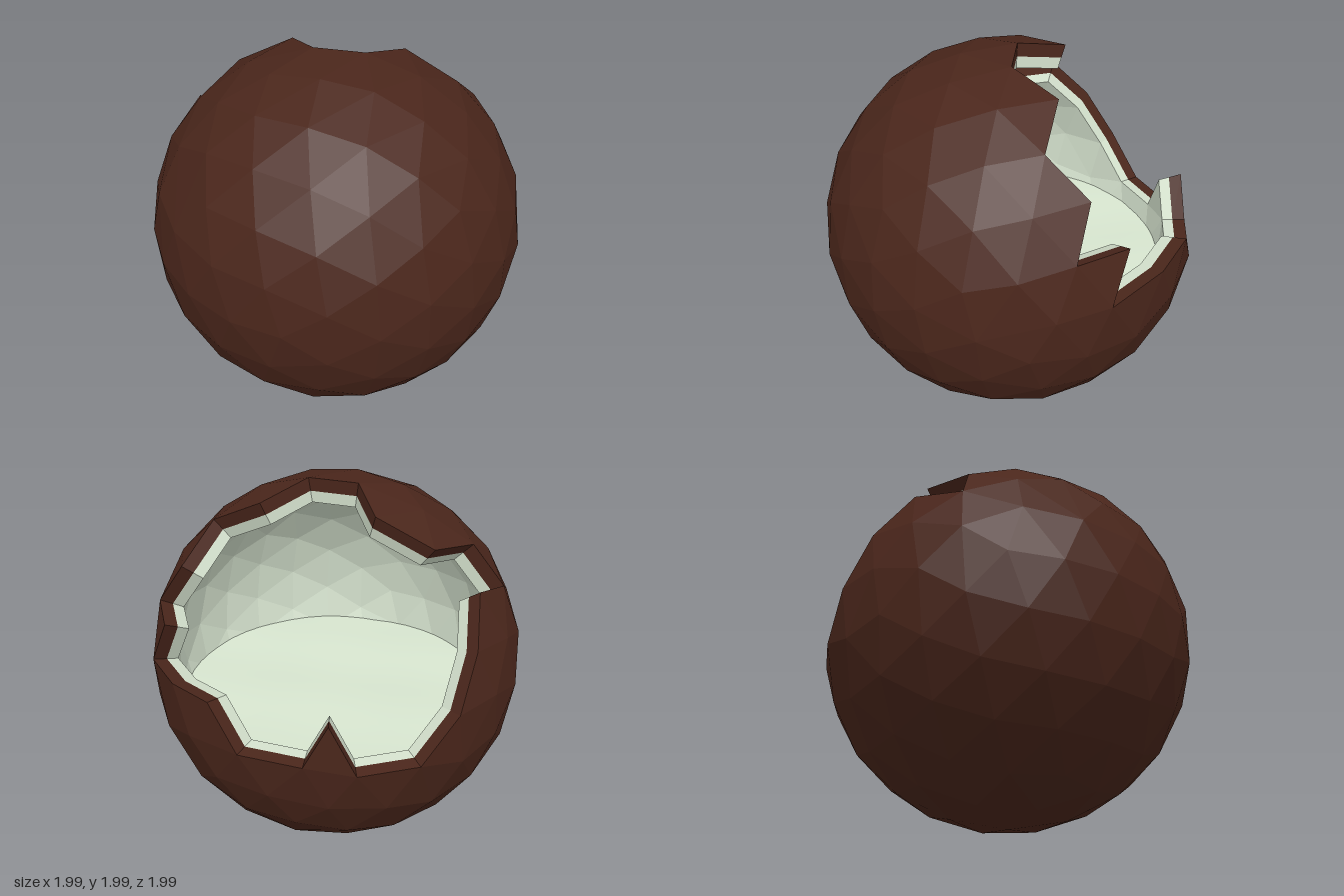
import * as THREE from 'three';
import { ConvexGeometry } from 'three/addons/geometries/ConvexGeometry.js';

const V = (x, y, z) => new THREE.Vector3(x, y, z);
const HUSK = 0.93, FLESH = 0.87; // inner radius of each layer

// jagged edge of the opening, counterclockwise seen from outside
const rim = [
  [0.1, 0.99, 0.1], [0.39, 0.915, 0.1], [0.51, 0.77, 0.35], [0.75, 0.6, 0.3],
  [0.81, 0.36, 0.47], [0.92, 0.36, 0.2], [0.935, 0.1, 0.34], [0.99, 0.14, 0],
  [0.95, 0.16, -0.28], [0.89, -0.07, -0.44], [0.7, -0.07, -0.71], [0.6, 0.16, -0.78],
  [0.495, -0.12, -0.86], [0.2, -0.12, -0.97], [-0.01, 0.1, -0.99], [-0.17, 0.36, -0.92],
  [-0.31, 0.57, -0.76], [-0.6, 0.48, -0.64], [-0.46, 0.7, -0.53], [-0.14, 0.78, -0.61],
  [0.05, 0.92, -0.39], [-0.05, 0.99, -0.12],
].map((p) => V(...p).normalize());
const next = (i) => rim[(i + 1) % rim.length];

// flat chart around the opening, in which the rim is a plain polygon
const axis = V(0.62, 0.56, -0.5).normalize();
const axisU = V(0, 1, 0).cross(axis).normalize();
const axisV = axis.clone().cross(axisU);
function chart(p) {
  const d = p.dot(axis);
  return [p.dot(axisU) / d, p.dot(axisV) / d];
}
const outline = rim.map(chart);

function inOpening(p) {
  if (p.dot(axis) < 0.05) return false;
  const [x, y] = chart(p);
  let inside = false;
  outline.forEach(([ax, ay], i) => {
    const [bx, by] = outline[(i + 1) % outline.length];
    if ((ay > y) !== (by > y) && x < ax + ((y - ay) / (by - ay)) * (bx - ax)) inside = !inside;
  });
  return inside;
}

// evenly spread sphere points that include the rim corners
function spherePoints() {
  const free = [];
  const pos = new THREE.IcosahedronGeometry(1, 3).attributes.position;
  for (let i = 0; i < pos.count; i++) {
    const p = V().fromBufferAttribute(pos, i);
    if (!free.some((q) => q.distanceTo(p) < 0.01)) free.push(p);
  }
  // each rim corner takes the place of its nearest point
  for (const r of rim) {
    let best = 0;
    free.forEach((p, i) => { if (p.distanceTo(r) < free[best].distanceTo(r)) best = i; });
    free.splice(best, 1);
  }
  // relax the rest around the rim
  const all = [...rim, ...free];
  const mids = rim.map((p, i) => p.clone().add(next(i)).normalize());
  const push = V();
  const repel = (p, q, range) => {
    const d = p.distanceTo(q);
    if (p !== q && d < range && d > 1e-5) {
      push.addScaledVector(p.clone().sub(q), (0.25 * (range - d)) / d);
    }
  };
  for (let step = 0; step < 60; step++) {
    for (const p of free) {
      push.set(0, 0, 0);
      for (const q of all) repel(p, q, 0.33);
      for (const q of mids) repel(p, q, 0.25);
      p.add(push).normalize();
    }
  }
  return all;
}

// triangles of the faceted sphere outside the opening
function shellTriangles() {
  const pos = new ConvexGeometry(spherePoints()).attributes.position;
  const tris = [];
  for (let i = 0; i < pos.count; i += 3) {
    const t = [0, 1, 2].map((k) => V().fromBufferAttribute(pos, i + k));
    const mid = V().add(t[0]).add(t[1]).add(t[2]).normalize();
    if (!inOpening(mid)) tris.push(t);
  }
  return tris;
}

// broken edge of one layer, between two radii
function rimTriangles(outer, inner) {
  return rim.flatMap((p, i) => {
    const q = next(i);
    const [a, b] = [p, q].map((v) => v.clone().multiplyScalar(outer));
    const [c, d] = [p, q].map((v) => v.clone().multiplyScalar(inner));
    return [[a, b, c], [b, d, c]];
  });
}

function facetMesh(name, tris, material) {
  const geo = new THREE.BufferGeometry().setFromPoints(tris.flat());
  geo.computeVertexNormals();
  const mesh = new THREE.Mesh(geo, material);
  mesh.name = name;
  return mesh;
}

export function createModel() {
  const model = new THREE.Group();
  model.name = 'crackedCoconut';
  const brown = new THREE.MeshStandardMaterial({ color: 0x4a261b, flatShading: true, side: THREE.DoubleSide });
  const white = new THREE.MeshStandardMaterial({ color: 0xd3e0cc, flatShading: true, side: THREE.DoubleSide });
  const liquid = new THREE.MeshStandardMaterial({ color: 0xd8e6d0, side: THREE.DoubleSide });

  // husk, and the flesh lining as its inward-facing copy
  const shell = shellTriangles();
  const lining = shell.map(([a, b, c]) => [a, c, b].map((p) => p.clone().multiplyScalar(FLESH)));
  model.add(
    facetMesh('husk', shell, brown),
    facetMesh('huskRim', rimTriangles(1, HUSK), brown),
    facetMesh('fleshLining', lining, white),
    facetMesh('fleshRim', rimTriangles(HUSK, FLESH), white),
  );

  // gently rippled liquid inside
  const surface = new THREE.RingGeometry(0, 0.835, 48, 10).rotateX(-Math.PI / 2);
  const pos = surface.attributes.position;
  for (let i = 0; i < pos.count; i++) {
    pos.setY(i, 0.008 * Math.sin(pos.getX(i) * 7) * Math.cos(pos.getZ(i) * 6));
  }
  surface.computeVertexNormals();
  const water = new THREE.Mesh(surface, liquid);
  water.name = 'liquidSurface';
  water.position.y = -0.21;
  model.add(water);

  model.children.forEach((part) => { part.position.y += 1; });
  return model;
}
